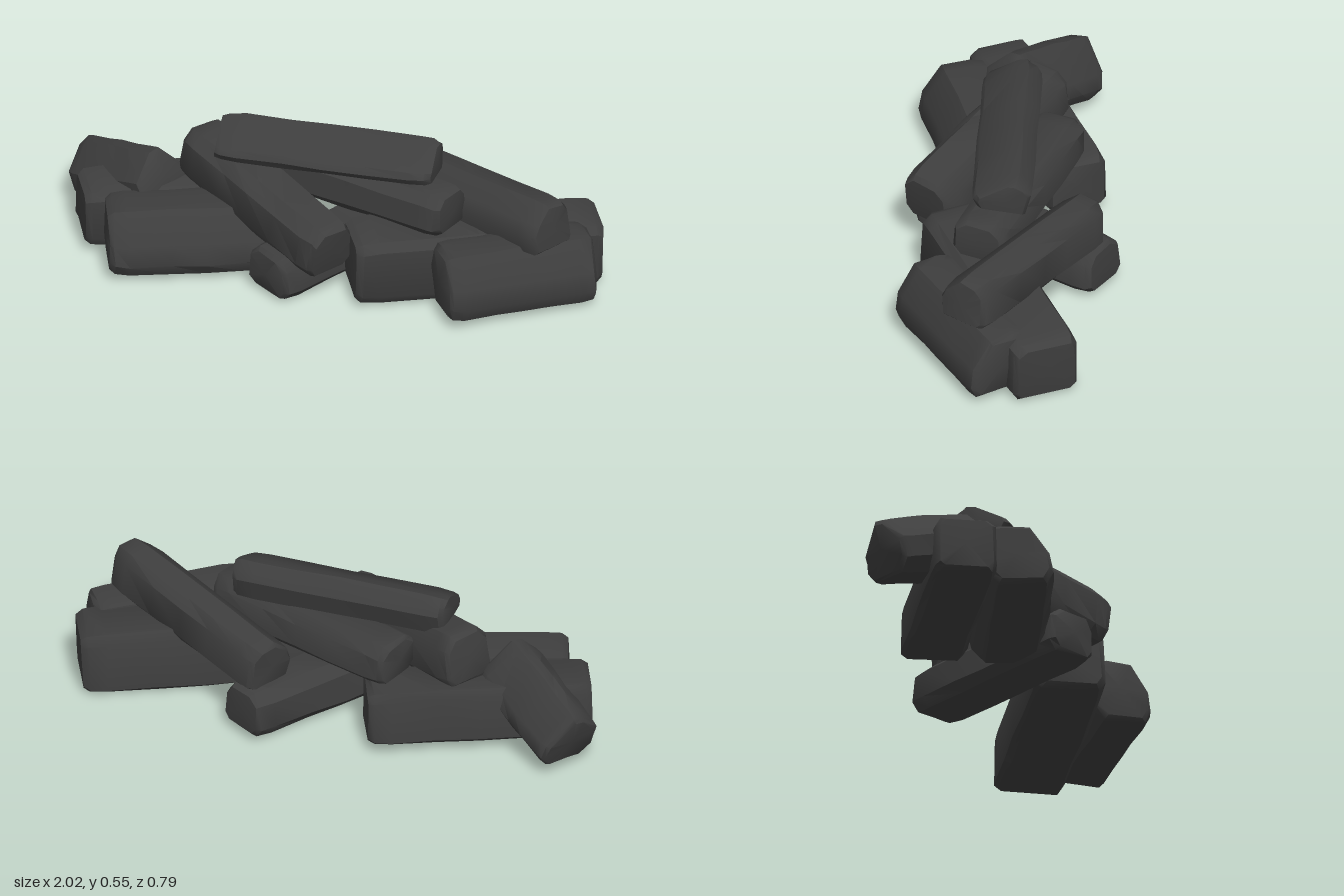
import * as THREE from 'three';
import { toCreasedNormals } from 'three/addons/utils/BufferGeometryUtils.js';

// Cross-sections, counter-clockwise, in units of half width and half height
const SECTIONS = {
  block: [[0.82, -1], [1, -0.85], [0.96, 0.7], [0.8, 1], [-0.68, 1], [-0.93, 0.78], [-1, -0.7], [-0.82, -0.97]],
  leaning: [[0.5, -1], [0.88, -0.5], [1, 0.15], [0.8, 0.9], [0.45, 1], [-0.35, 1], [-0.9, 0.1], [-1, -0.55], [-0.8, -0.95]],
  sloped: [[0.85, -1], [1, -0.8], [0.95, 0.5], [0.65, 0.9], [-0.1, 1], [-0.8, 0.4], [-1, -0.1], [-0.9, -0.95]],
  rounded: [[0.75, -1], [1, -0.65], [0.94, 0.45], [0.6, 0.95], [-0.5, 1], [-0.93, 0.6], [-1, -0.55], [-0.72, -0.97]],
  ridge: [[0.75, -0.95], [1, -0.5], [0.92, 0], [0.05, 1], [-0.3, 0.95], [-1, 0.1], [-0.92, -0.6], [-0.5, -1]],
  wedge: [[0.8, -1], [1, 0.15], [0.85, 0.6], [0.55, 1], [0.2, 0.88], [-0.9, 0.1], [-1, -0.25], [-0.85, -0.65]],
};

// Rings along a log: position, size
const RINGS = [[0, 0.84], [0.025, 0.96], [0.1, 1], [0.32, 1], [0.5, 1.02], [0.7, 1], [0.9, 1], [0.975, 0.96], [1, 0.84]];

function seeded(seed) {
  let s = seed * 7919 + 17;
  return () => {
    s = (s * 16807) % 2147483647;
    return (s / 2147483647) * 2 - 1;
  };
}

// Rough-hewn log lofted from one end point to the other
function logGeometry(from, to, halfWidth, halfHeight, sectionName, seed) {
  const rand = seeded(seed);
  const a = new THREE.Vector3(...from);
  const b = new THREE.Vector3(...to);
  const length = a.distanceTo(b);
  const along = b.clone().sub(a).normalize();
  const side = new THREE.Vector3(0, 1, 0).cross(along).normalize();
  const up = along.clone().cross(side);
  const section = SECTIONS[sectionName];
  const n = section.length;
  const positions = [];
  const indices = [];

  RINGS.forEach(([t, size]) => {
    const wobble = 1 + rand() * 0.02;
    section.forEach(([u, v]) => {
      const p = a.clone()
        .addScaledVector(along, t * length + rand() * 0.004)
        .addScaledVector(side, u * halfWidth * size * wobble + rand() * 0.003)
        .addScaledVector(up, v * halfHeight * size + rand() * 0.003);
      positions.push(p.x, p.y, p.z);
    });
  });
  const last = (RINGS.length - 1) * n;
  for (let k = 0; k < RINGS.length - 1; k++) {
    for (let i = 0; i < n; i++) {
      const j = (i + 1) % n;
      const p = k * n + i, q = k * n + j;
      indices.push(p, q, q + n, p, q + n, p + n);
    }
  }

  // End faces
  const startCentre = positions.length / 3;
  const s = a.clone().addScaledVector(along, -0.008);
  const e = b.clone().addScaledVector(along, 0.008);
  positions.push(s.x, s.y, s.z, e.x, e.y, e.z);
  for (let i = 0; i < n; i++) {
    const j = (i + 1) % n;
    indices.push(startCentre, j, i, startCentre + 1, last + i, last + j);
  }

  const geometry = new THREE.BufferGeometry();
  geometry.setAttribute('position', new THREE.Float32BufferAttribute(positions, 3));
  geometry.setIndex(indices);
  return toCreasedNormals(geometry, 0.7);
}

// name, one end, other end, half width, half height, section
const LOGS = [
  // ground layer
  ['backLeftLog', [-0.9, 0.15, 0.115], [-0.165, 0.15, -0.225], 0.118, 0.108, 'block'],
  ['frontLeftLog', [-0.765, 0.15, 0.265], [-0.1, 0.145, 0.03], 0.138, 0.12, 'leaning'],
  ['middleLog', [0.27, 0.115, -0.345], [-0.16, 0.1, 0.31], 0.105, 0.088, 'rounded'],
  ['backRightLog', [0.13, 0.145, 0.22], [0.95, 0.125, -0.175], 0.132, 0.122, 'block'],
  ['frontRightLog', [0.49, 0.165, 0.305], [0.96, 0.145, -0.01], 0.122, 0.122, 'leaning'],
  // second layer
  ['leaningLeftLog', [-0.94, 0.145, -0.19], [-0.61, 0.285, 0.045], 0.122, 0.11, 'ridge'],
  ['slopingFrontLog', [-0.515, 0.355, -0.095], [0.085, 0.235, 0.315], 0.104, 0.104, 'rounded'],
  ['crossLog', [-0.265, 0.325, -0.155], [0.48, 0.343, 0.105], 0.105, 0.08, 'rounded'],
  ['slopingRightLog', [0.18, 0.275, -0.265], [0.865, 0.355, 0.14], 0.1, 0.092, 'sloped'],
  // top
  ['topLog', [-0.405, 0.475, 0.025], [0.4, 0.482, 0.02], 0.108, 0.07, 'wedge'],
];

export function createModel() {
  const group = new THREE.Group();
  group.name = 'logPile';
  const charcoal = new THREE.MeshStandardMaterial({ color: 0x3e3e3e });
  charcoal.name = 'charcoal';

  LOGS.forEach(([name, from, to, halfWidth, halfHeight, section], i) => {
    const log = new THREE.Mesh(logGeometry(from, to, halfWidth, halfHeight, section, i + 1), charcoal);
    log.name = name;
    group.add(log);
  });

  // Rest the pile on the ground, centred
  const box = new THREE.Box3().setFromObject(group);
  const centre = box.getCenter(new THREE.Vector3());
  group.children.forEach((log) => log.position.set(-centre.x, -box.min.y, -centre.z));
  return group;
}
